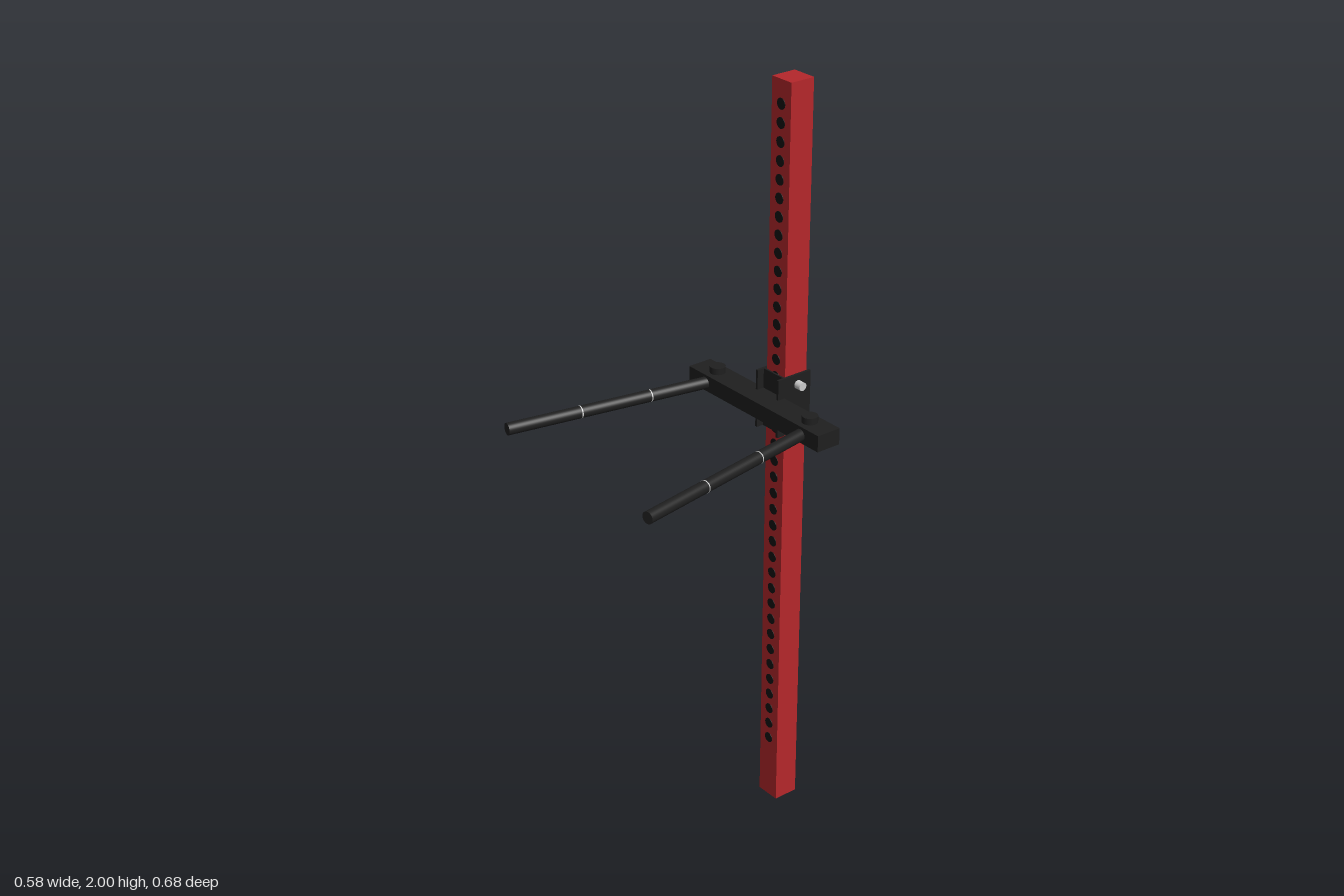
import * as THREE from 'three';

export function createModel() {
  const model = new THREE.Group();
  model.name = 'rackAttachment';

  const material = (name, color) => {
    const m = new THREE.MeshStandardMaterial({ color });
    m.name = name;
    return m;
  };
  const red = material('red paint', 0xb5272b);
  const black = material('black steel', 0x1f1f1f);
  const holeBlack = material('hole black', 0x111111);
  const silver = material('silver', 0xcccccc);

  const add = (name, geometry, mat, x, y, z, parent = model) => {
    const mesh = new THREE.Mesh(geometry, mat);
    mesh.name = name;
    mesh.position.set(x, y, z);
    parent.add(mesh);
    return mesh;
  };
  const box = (w, h, d) => new THREE.BoxGeometry(w, h, d);
  const rod = (r, length, sides = 32) => new THREE.CylinderGeometry(r, r, length, sides);

  // Upright post with a column of holes on its front
  add('post', box(0.068, 2, 0.068), red, 0, 1, -0.302);
  const holeGeometry = rod(0.014, 0.004, 20).rotateX(Math.PI / 2);
  for (let i = 0; i < 39; i++) {
    add('postHole', holeGeometry, holeBlack, 0, 0.182 + i * 0.0463, -0.2685);
  }

  // Bracket around the post, with its locking pin
  add('bracketFront', box(0.072, 0.155, 0.005), black, 0, 1.181, -0.2615);
  for (const side of [-1, 1]) {
    add('bracketSide', box(0.007, 0.155, 0.103), black, side * 0.039, 1.181, -0.2915);
  }
  add('lockingPin', rod(0.011, 0.124).rotateZ(Math.PI / 2), silver, 0, 1.232, -0.302);

  // Crossbar
  add('crossbar', box(0.49, 0.043, 0.068), black, 0, 1.1845, -0.226);

  // Splayed arms with pivot caps and ring joints
  for (const side of [-1, 1]) {
    const arm = new THREE.Group();
    arm.name = side > 0 ? 'leftArm' : 'rightArm';
    arm.position.set(side * 0.175, 1.184, -0.227);
    model.add(arm);

    add('pivotCap', rod(0.02, 0.018), black, 0, 0.03, 0, arm);

    const bar = new THREE.Group();
    bar.name = 'armBar';
    bar.rotation.y = side * THREE.MathUtils.degToRad(10.2);
    arm.add(bar);
    add('armTube', rod(0.0155, 0.575).rotateX(Math.PI / 2), black, 0, 0, 0.2875, bar);
    for (const z of [0.19, 0.38]) {
      add('armRing', rod(0.0159, 0.003).rotateX(Math.PI / 2), silver, 0, 0, z, bar);
    }
  }

  return model;
}
